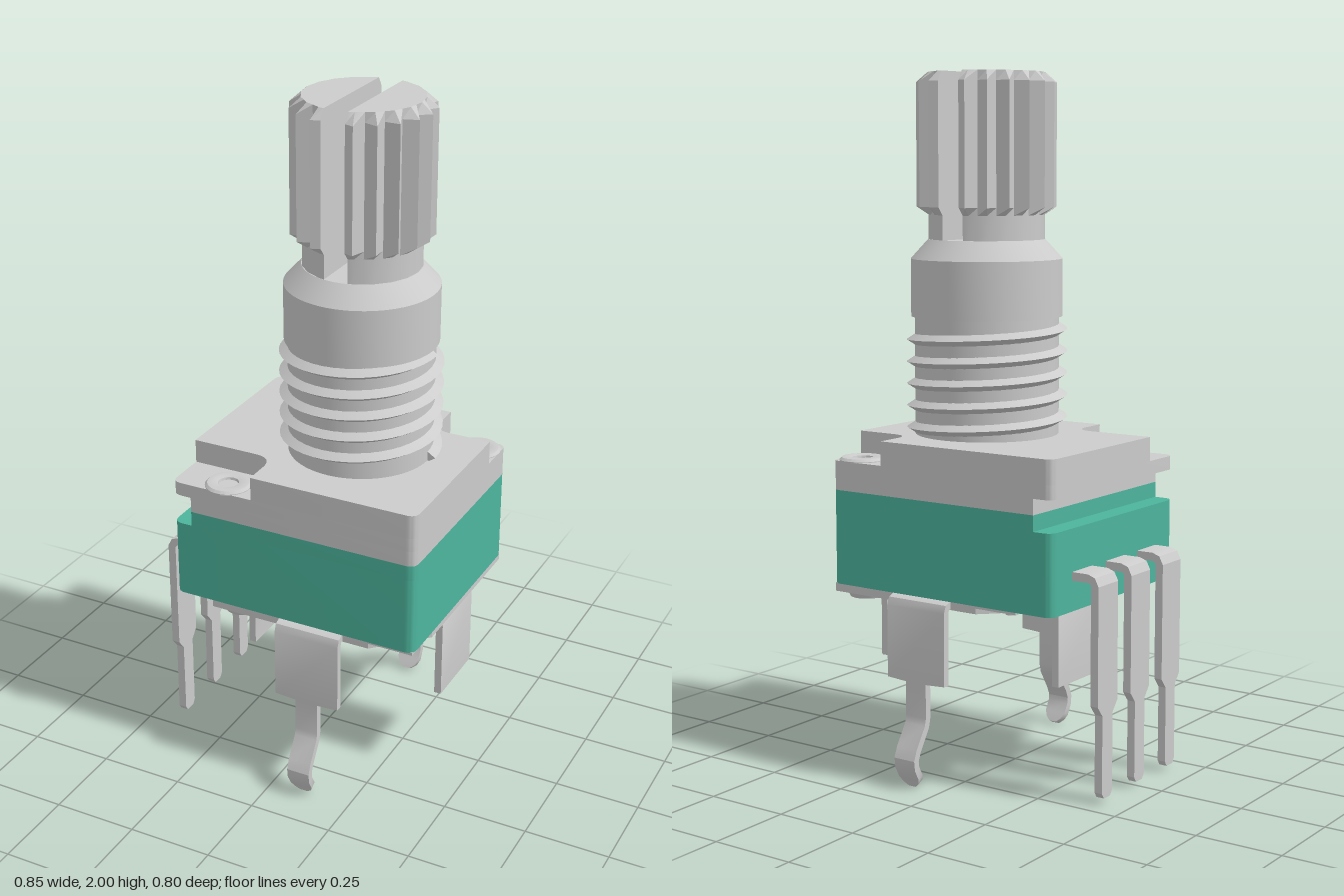
import * as THREE from 'three';
import { toCreasedNormals } from 'three/addons/utils/BufferGeometryUtils.js';

const metal = new THREE.MeshStandardMaterial({ color: 0xcccccc });
const green = new THREE.MeshStandardMaterial({ color: 0x4db59d });

// Skin a list of closed rings (counter-clockwise about the direction of travel)
function loft(rings) {
  const pos = [];
  const tri = (...v) => v.forEach(p => pos.push(p.x, p.y, p.z));
  const n = rings[0].length;
  const centre = ring => ring.reduce((s, p) => s.add(p), new THREE.Vector3()).divideScalar(n);
  const first = rings[0], last = rings[rings.length - 1];
  const c0 = centre(first), c1 = centre(last);
  for (let j = 0; j < n; j++) {
    const k = (j + 1) % n;
    for (let i = 0; i < rings.length - 1; i++) {
      const a = rings[i], b = rings[i + 1];
      tri(a[j], a[k], b[k]);
      tri(a[j], b[k], b[j]);
    }
    tri(c0, first[k], first[j]);
    tri(c1, last[j], last[k]);
  }
  const geo = new THREE.BufferGeometry();
  geo.setAttribute('position', new THREE.Float32BufferAttribute(pos, 3));
  return toCreasedNormals(geo, 0.45);
}

// Bent sheet-metal strip: path of [outward, height, half width]
function ribbon(path, t) {
  return loft(path.map(([u, y, w], i) => {
    const a = path[Math.max(i - 1, 0)], b = path[Math.min(i + 1, path.length - 1)];
    const len = Math.hypot(b[0] - a[0], b[1] - a[1]);
    const nx = -(b[1] - a[1]) / len * t / 2, ny = (b[0] - a[0]) / len * t / 2;
    return [[1, -1], [1, 1], [-1, 1], [-1, -1]].map(
      ([s, z]) => new THREE.Vector3(u + s * nx, y + s * ny, z * w));
  }));
}

// Horizontal slab from y0 to y1; corners are [x, z, rounding radius]
function slab(corners, y0, y1) {
  const shape = new THREE.Shape();
  const pts = corners.map(([x, z]) => new THREE.Vector2(x, -z));
  pts.forEach((p, i) => {
    const r = corners[i][2] || 0;
    const prev = pts[(i + pts.length - 1) % pts.length], next = pts[(i + 1) % pts.length];
    const from = p.clone().add(prev.clone().sub(p).setLength(r));
    const to = p.clone().add(next.clone().sub(p).setLength(r));
    if (i) shape.lineTo(from.x, from.y); else shape.moveTo(from.x, from.y);
    if (r) shape.quadraticCurveTo(p.x, p.y, to.x, to.y);
  });
  shape.closePath();
  const geo = new THREE.ExtrudeGeometry(shape, { depth: y1 - y0, bevelEnabled: false, curveSegments: 8 });
  geo.rotateX(-Math.PI / 2).translate(0, y0, 0);
  return toCreasedNormals(geo, 0.5);
}

const lathe = pts => toCreasedNormals(
  new THREE.LatheGeometry(pts.map(p => new THREE.Vector2(...p)), 64), 0.5);

export function createModel() {
  const model = new THREE.Group();
  const add = (name, geo, mat = metal, x = 0, y = 0, z = 0, ry = 0) => {
    const m = new THREE.Mesh(geo, mat);
    m.name = name;
    m.position.set(x, y, z);
    m.rotation.y = ry;
    model.add(m);
    return m;
  };

  // Housing layers, with a groove along the terminal side
  const R = 0.03, X = 0.42, Z = 0.32;
  const block = (x0, r = R) => [[x0, Z, r], [X, Z, R], [X, -Z, R], [x0, -Z, r]];
  add('housingBase', slab(block(-0.34), 0.54, 0.77), green);
  add('housingBaseStep', slab(block(-0.28, 0), 0.77, 0.815), green);
  add('coverStep', slab(block(-0.28, 0), 0.815, 0.86));
  add('coverFlange', slab(block(-0.34), 0.86, 0.9));
  add('coverTop', slab([
    [-0.085, Z], [X, Z, R], [X, -0.188], [0.24, -0.188, 0.06], [0.24, -Z],
    [-0.34, -Z, R], [-0.34, 0.185], [-0.085, 0.185, 0.06],
  ], 0.9, 0.97));

  // Hollow rivets in the two cover recesses, with heads underneath
  const rivet = lathe([[0.067, 0], [0.067, 0.004], [0.06, 0.011], [0.04, 0.013],
    [0.03, 0.009], [0.028, 0.001], [0, 0.001]]);
  const head = new THREE.CylinderGeometry(0.057, 0.05, 0.015, 32);
  for (const [x, z, hx] of [[-0.187, 0.265, -0.155], [0.355, -0.26, 0.345]]) {
    add('rivet', rivet, metal, x, 0.898, z);
    add('rivetHead', head, metal, hx, 0.509, Math.sign(z) * 0.255);
  }

  // Bottom plate with two clipped corners showing locating pegs
  add('bottomLiner', slab([[-0.22, 0.315], [0.415, 0.315], [0.415, -0.315], [-0.22, -0.315]], 0.532, 0.541));
  add('bottomPlate', slab([[-0.22, 0.315], [0.28, 0.315], [0.415, 0.18],
    [0.415, -0.315], [-0.085, -0.315], [-0.22, -0.18]], 0.516, 0.534));
  const peg = new THREE.CylinderGeometry(0.018, 0.018, 0.012, 20);
  add('locatingPeg', peg, metal, 0.375, 0.528, 0.275);
  add('locatingPeg', peg, metal, -0.18, 0.528, -0.275);

  // Mounting tabs with sprung hooks, front and back
  const hook = ribbon([
    [0.29, 0.529, 0.1], [0.318, 0.529, 0.1], [0.33, 0.525, 0.1], [0.336, 0.51, 0.1],
    [0.336, 0.302, 0.1], [0.336, 0.298, 0.035], [0.336, 0.2, 0.035], [0.342, 0.175, 0.035],
    [0.38, 0.115, 0.035], [0.391, 0.088, 0.035], [0.388, 0.065, 0.035],
    [0.372, 0.036, 0.035], [0.363, 0.02, 0.027], [0.357, 0.008, 0.012],
  ], 0.021);
  add('frontMountingTab', hook, metal, 0.1, 0, 0, -Math.PI / 2);
  add('backMountingTab', hook, metal, 0.1, 0, 0, Math.PI / 2);

  // Straight tabs on the two sides of the plate
  const sideTab = ribbon([[-0.04, 0.529, 0.105], [-0.018, 0.529, 0.105], [-0.005, 0.524, 0.105],
    [0, 0.51, 0.105], [0, 0.28, 0.105]], 0.021);
  add('leftSideTab', sideTab, metal, 0.405);
  add('rightSideTab', sideTab, metal, -0.21, 0, 0, Math.PI);

  // Three bent terminals
  const terminal = ribbon([
    [0.3, 0.638, 0.05], [0.39, 0.638, 0.05], [0.405, 0.633, 0.05], [0.413, 0.618, 0.05],
    [0.413, 0.285, 0.05], [0.413, 0.255, 0.026], [0.413, 0.035, 0.026], [0.413, 0.02, 0.016],
  ], 0.024);
  for (const z of [-0.17, 0, 0.17]) add('terminal', terminal, metal, 0, 0, z, Math.PI);

  // Bushing core and collar
  const CX = 0.1;
  add('bushing', lathe([[0, 0.965], [0.208, 0.965], [0.208, 1.31], [0.218, 1.31],
    [0.218, 1.475], [0.168, 1.53], [0, 1.53]]), metal, CX);

  // Right-handed screw thread
  const turns = 5, seg = 40, rings = [];
  for (let i = 0; i <= turns * seg; i++) {
    const t = i / seg * Math.PI * 2, y = 0.982 + i / seg * 0.0635;
    rings.push([[0.2, 0.021], [0.232, 0], [0.2, -0.021]].map(
      ([r, dy]) => new THREE.Vector3(r * Math.cos(t), y + dy, -r * Math.sin(t))));
  }
  add('thread', loft(rings), metal, CX);

  // Splined shaft: two halves either side of the slot
  const slot = 0.035;
  const half = loft([[1.525, 0.167], [1.6, 0.167], [1.622, 0.2], [1.972, 0.2], [2, 0.168]].map(([y, cap]) => {
    const ring = [];
    const end = Math.sqrt(Math.min(cap, 0.185) ** 2 - slot ** 2);
    ring.push(new THREE.Vector3(slot, y, end));
    for (let k = -8; k <= 8; k++) {
      const r = Math.min(cap, k % 2 ? 0.165 : 0.2), a = k * Math.PI / 20;
      ring.push(new THREE.Vector3(r * Math.cos(a), y, -r * Math.sin(a)));
    }
    ring.push(new THREE.Vector3(slot, y, -end));
    return ring;
  }));
  add('leftShaftHalf', half, metal, CX);
  add('rightShaftHalf', half, metal, CX, 0, 0, Math.PI);

  return model;
}
